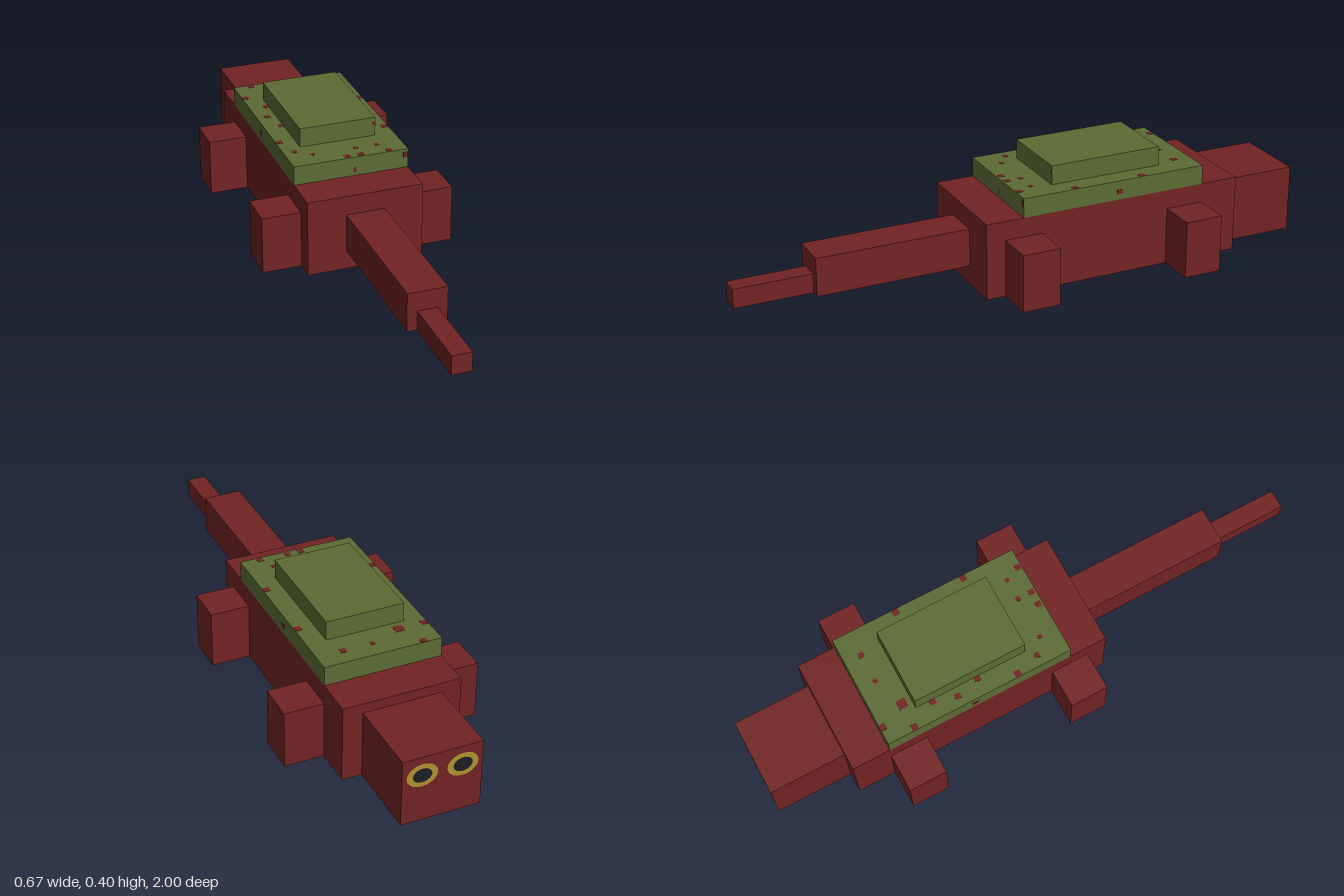
import * as THREE from 'three';

const mat = (name, color, extra = {}) => {
  const m = new THREE.MeshStandardMaterial({ color, ...extra });
  m.name = name;
  return m;
};

export function createModel() {
  const skin = mat('dark red skin', 0x722323);
  const shell = mat('olive shell', 0x5d6c35);
  const gold = mat('gold iris', 0xb0922f);
  const black = mat('black pupil', 0x1c1e24);
  const model = new THREE.Group();
  model.name = 'shelledCreature';
  const U = 1 / 15; // block unit

  // Box given by its limits, in block units
  function block(name, material, [x0, x1], [y0, y1], [z0, z1], parent = model) {
    const g = new THREE.BoxGeometry((x1 - x0) * U, (y1 - y0) * U, (z1 - z0) * U);
    const m = new THREE.Mesh(g, material);
    m.position.set((x0 + x1) * U / 2, (y0 + y1) * U / 2, (z0 + z1) * U / 2);
    m.name = name;
    parent.add(m);
    return m;
  }

  // Body, head and tail
  block('body', skin, [-3, 3], [0, 4], [-11, 3]);
  block('head', skin, [-2, 2], [0, 3.5], [-15, -11]);
  block('tailBase', skin, [-1, 1], [1, 3], [3, 11]);
  block('tailTip', skin, [-0.5, 0.5], [1, 2], [11, 15]);

  // Stepped shell
  block('lowerShell', shell, [-3, 3], [4, 5], [-9, 1]);
  block('upperShell', shell, [-2, 2], [5, 6], [-7, -1]);

  // Four legs
  for (const [side, x] of [['right', [-5, -3]], ['left', [3, 5]]]) {
    block(side + 'TailEndLeg', skin, x, [0, 3], [0, 2]);
    block(side + 'HeadEndLeg', skin, x, [0, 3], [-9, -7]);
  }

  // Eyes: thin oval discs on the end of the head
  function disc(name, material, x, rx, ry, lift) {
    const m = new THREE.Mesh(new THREE.CircleGeometry(1, 20), material);
    m.scale.set(rx, ry, 1);
    m.rotation.y = Math.PI;
    m.position.set(x, 0.168, -1 - lift);
    m.name = name;
    model.add(m);
  }
  for (const [side, s] of [['left', 1], ['right', -1]]) {
    disc(side + 'Iris', gold, s * 0.067, 0.052, 0.041, 0.001);
    disc(side + 'Pupil', black, s * 0.067, 0.032, 0.025, 0.002);
  }

  // Small red flecks on top of the lower shell: x, z, size
  const flecks = new THREE.Group();
  flecks.name = 'shellFlecks';
  model.add(flecks);
  const spots = [
    [-0.14, -0.59, 0.022], [-0.188, -0.5, 0.022], [-0.1, -0.5, 0.032], [0.01, -0.54, 0.015],
    [0.11, -0.54, 0.02], [-0.14, -0.41, 0.022], [-0.163, -0.33, 0.02], [0.188, -0.373, 0.022],
    [-0.14, -0.247, 0.02], [-0.188, -0.124, 0.022], [0.188, -0.124, 0.022], [-0.163, -0.04, 0.018],
    [-0.112, 0, 0.015], [0.038, 0, 0.015], [0.112, 0, 0.015],
    [-0.01, 0.05, 0.02], [0.038, 0.05, 0.02], [0.136, 0.053, 0.02],
  ];
  for (const [x, z, s] of spots) {
    const m = new THREE.Mesh(new THREE.BoxGeometry(s, 0.002, s), skin);
    m.position.set(x, 5 * U, z);
    m.name = 'topFleck';
    flecks.add(m);
  }

  // Flecks on the shell's tail-end and side faces: x, y, z, width, height, depth
  const edgeSpots = [
    [0.011, 0.287, 0.067, 0.01, 0.016, 0.002], [0.19, 0.313, 0.067, 0.016, 0.02, 0.002],
    [0.128, 0.378, -0.067, 0.008, 0.01, 0.002],
    [-0.2, 0.295, -0.285, 0.002, 0.016, 0.022], [0.2, 0.295, -0.285, 0.002, 0.016, 0.022],
  ];
  for (const [x, y, z, w, h, d] of edgeSpots) {
    const m = new THREE.Mesh(new THREE.BoxGeometry(w, h, d), skin);
    m.position.set(x, y, z);
    m.name = 'edgeFleck';
    flecks.add(m);
  }
  return model;
}
